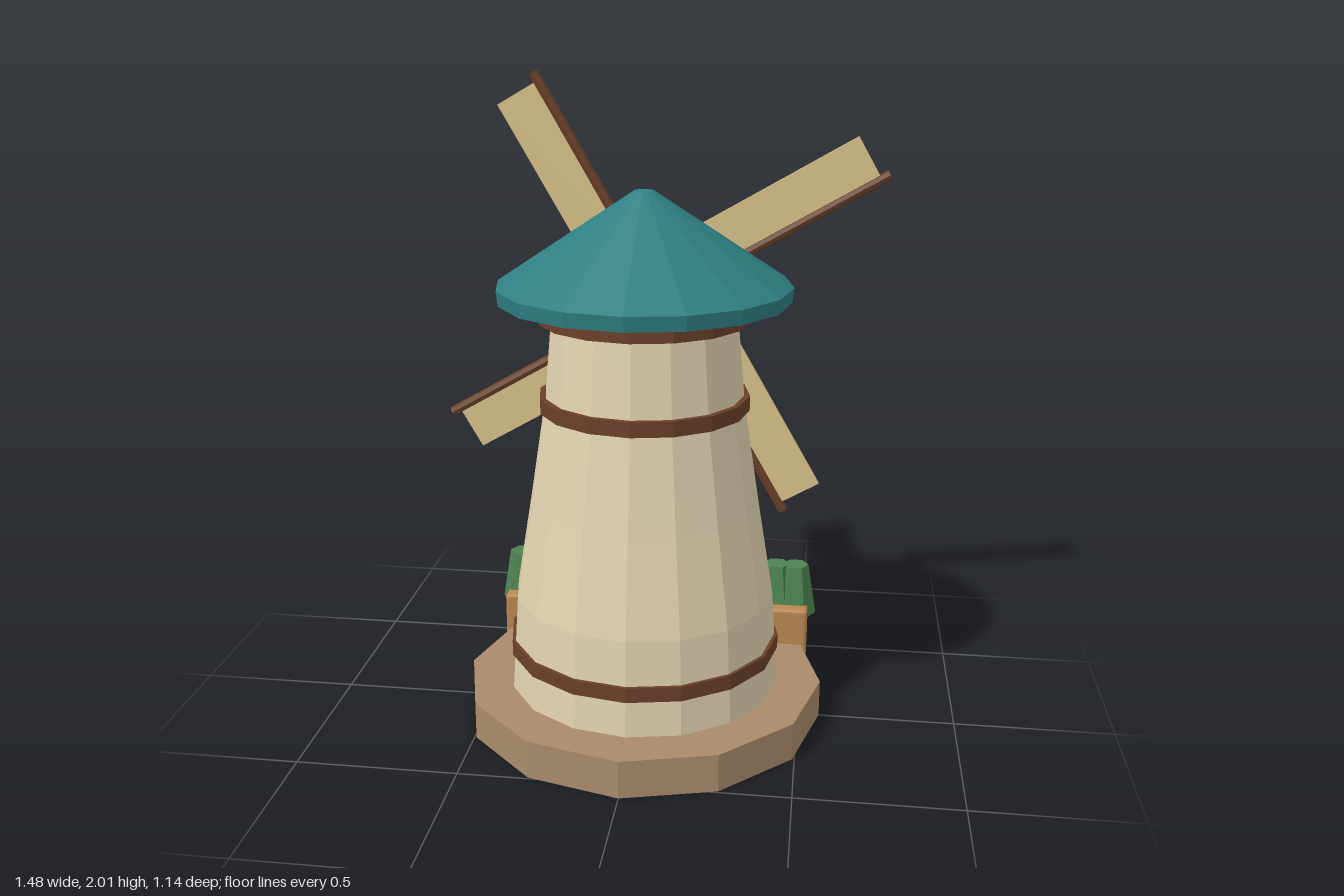
import * as THREE from 'three';
import { RoundedBoxGeometry } from 'three/addons/geometries/RoundedBoxGeometry.js';

const mat = (color) => new THREE.MeshStandardMaterial({ color, flatShading: true });
const M = {
  stone: mat(0xa98b6b), plaster: mat(0xe2d3b0), wood: mat(0x6b4029), roof: mat(0x2f7f83),
  gold: mat(0xcfa045), cloth: mat(0xd8c28a), glass: mat(0x86c8d4), shutter: mat(0x2b7f8a),
  crate: mat(0xb98750), leaf: mat(0x4d8350),
};

function add(parent, name, geometry, material, x = 0, y = 0, z = 0) {
  const mesh = new THREE.Mesh(geometry, material);
  mesh.name = name;
  mesh.position.set(x, y, z);
  parent.add(mesh);
  return mesh;
}
const lathe = (points, sides) =>
  new THREE.LatheGeometry(points.map(([r, y]) => new THREE.Vector2(r, y)), sides);
const rounded = (w, h, d, r = 0.012) => new RoundedBoxGeometry(w, h, d, 2, r);

export function createModel() {
  const model = new THREE.Group();
  model.name = 'windmill';

  // Stone base and tapering tower
  add(model, 'base', new THREE.CylinderGeometry(0.57, 0.57, 0.12, 12), M.stone, 0, 0.06, 0);
  add(model, 'tower', lathe([[0, 0.12], [0.43, 0.12], [0.41, 0.42], [0.36, 0.72],
    [0.31, 1.04], [0.28, 1.37], [0, 1.37]], 16), M.plaster);

  // Wooden bands
  for (const [r, y] of [[0.43, 0.257], [0.325, 1.045], [0.325, 1.322]])
    add(model, 'band', new THREE.CylinderGeometry(r, r, 0.047, 16), M.wood, 0, y, 0);

  // Conical roof with a short eave
  add(model, 'roof', lathe([[0, 1.36], [0.445, 1.36], [0.45, 1.405], [0.03, 1.685], [0, 1.685]], 16), M.roof);

  // Hub and four sails
  const rotor = new THREE.Group();
  rotor.name = 'rotor';
  rotor.position.set(0, 1.265, -0.45);
  model.add(rotor);
  add(rotor, 'hub', new THREE.CylinderGeometry(0.055, 0.055, 0.21, 16).rotateX(Math.PI / 2), M.gold, 0, 0, 0.025);
  for (let i = 0; i < 4; i++) {
    const sail = new THREE.Group();
    sail.name = 'sail';
    sail.rotation.z = Math.PI / 6 + i * Math.PI / 2;
    rotor.add(sail);
    add(sail, 'spar', new THREE.CylinderGeometry(0.017, 0.017, 0.845, 8).rotateZ(Math.PI / 2), M.wood, 0.4225, 0, 0);
    add(sail, 'sailCloth', new THREE.BoxGeometry(0.63, 0.15, 0.014), M.cloth, 0.5, 0.08, 0);
  }

  // Door and shuttered window on the sail side
  add(model, 'door', rounded(0.18, 0.42, 0.045), M.wood, 0, 0.33, -0.408);
  add(model, 'windowPane', rounded(0.18, 0.22, 0.07), M.glass, 0, 0.89, -0.33);

  for (const side of [-1, 1]) {
    add(model, 'shutter', rounded(0.07, 0.235, 0.07), M.shutter, side * 0.15, 0.883, -0.33 + 0.03);

    // Planter box with a clipped bush
    const planter = new THREE.Group();
    planter.name = 'planter';
    planter.position.set(side * 0.41, 0, -0.355);
    model.add(planter);
    add(planter, 'planterBox', rounded(0.22, 0.17, 0.195), M.crate, 0, 0.16, 0);
    for (const dx of [-0.065, 0, 0.065])
      add(planter, 'bush', new THREE.CylinderGeometry(0.043, 0.072, 0.175, 6).rotateY(Math.PI / 6),
        M.leaf, dx, 0.287, 0);
  }
  return model;
}
